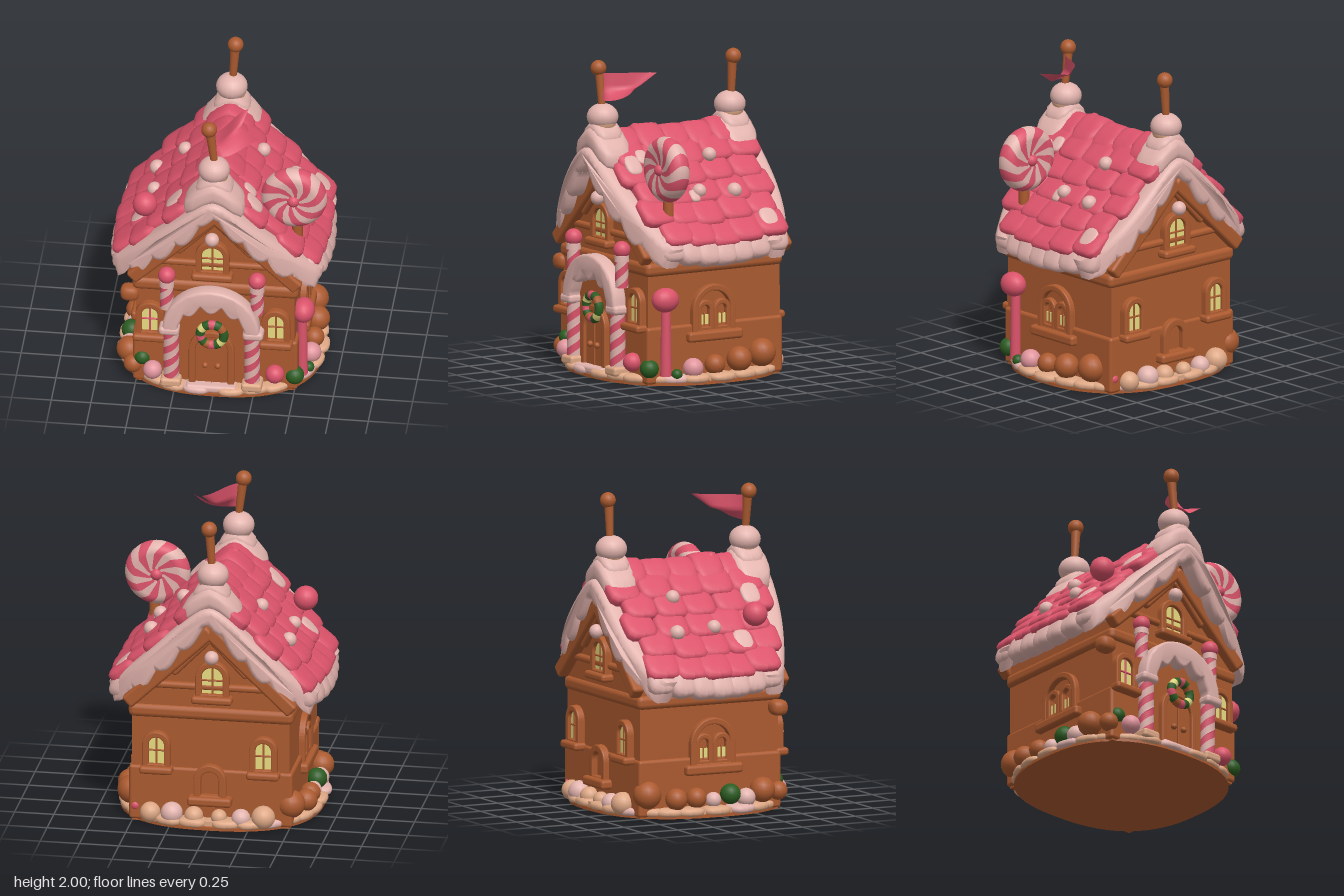
import * as THREE from 'three';
import { toCreasedNormals } from 'three/addons/utils/BufferGeometryUtils.js';
import { RoundedBoxGeometry } from 'three/addons/geometries/RoundedBoxGeometry.js';

const mat = (name, color, side = THREE.FrontSide) => Object.assign(new THREE.MeshStandardMaterial({ color, side }), { name });
const ginger = mat('gingerbread', 0xab5a2f), pink = mat('candy pink', 0xdb536a, THREE.DoubleSide);
const icing = mat('icing', 0xe2b3ad), tan = mat('tan icing', 0xdda785), yellow = mat('window glow', 0xe9de82);
const green = mat('green', 0x2c5c22), rose = mat('pale candy', 0xe0949c);

let seed = 7;
const rnd = (a) => { seed = (seed * 16807) % 2147483647; return (seed / 2147483647 - 0.5) * 2 * a; };
const V2 = (x, y) => new THREE.Vector2(x, y);
const V3 = (x, y, z) => new THREE.Vector3(x, y, z);
const SLOPE = Math.atan(1.05), RIDGE = 1.53;

function add(parent, name, geo, material, x = 0, y = 0, z = 0, rx = 0, ry = 0, rz = 0) {
  const m = new THREE.Mesh(geo, material);
  m.name = name; m.position.set(x, y, z); m.rotation.set(rx, ry, rz);
  parent.add(m);
  return m;
}
const rbox = (w, h, d, r = 0.02) => new RoundedBoxGeometry(w, h, d, 2, Math.min(r, w * 0.49, h * 0.49, d * 0.49));
const ball = (r) => new THREE.SphereGeometry(r, 18, 12);
const cyl = (a, b, h) => new THREE.CylinderGeometry(a, b, h, 18);
function extrude(shape, depth, bevel = 0, steps = 1) {
  return new THREE.ExtrudeGeometry(shape, { depth, steps, curveSegments: 12, bevelEnabled: bevel > 0, bevelSize: bevel, bevelThickness: bevel, bevelSegments: 2 });
}
// Moves every vertex by a rule
function warp(geo, rule) {
  const p = geo.attributes.position, v = V3(0, 0, 0);
  for (let i = 0; i < p.count; i++) { rule(v.fromBufferAttribute(p, i)); p.setXYZ(i, v.x, v.y, v.z); }
  geo.computeVertexNormals();
  return geo;
}
// Soft pillow block, optionally folded over the ridge
function pillow(w, h, d, k = 5, fold = 0) {
  return warp(new THREE.SphereGeometry(1, 20, 12), (v) => {
    const n = (Math.abs(v.x) ** k + Math.abs(v.y) ** k + Math.abs(v.z) ** k) ** (1 / k);
    v.set((v.x * w) / n / 2, (v.y * h) / n / 2, (v.z * d) / n / 2);
    v.y -= fold * (Math.sqrt(v.x * v.x + 0.003) - 0.055);
  });
}
// Sorts the faces into colour groups by their position around the part
function stripes(geo, pattern) {
  const uv = geo.attributes.uv, ix = geo.index.array, out = [];
  for (let i = 0; i < ix.length; i += 3) {
    const u = (uv.getX(ix[i]) + uv.getX(ix[i + 1]) + uv.getX(ix[i + 2])) / 3;
    const k = pattern[Math.floor(u * pattern.length) % pattern.length];
    (out[k] ??= []).push(ix[i], ix[i + 1], ix[i + 2]);
  }
  geo.clearGroups(); geo.setIndex(out.flat());
  let start = 0;
  out.forEach((list, k) => { geo.addGroup(start, list.length, k); start += list.length; });
  return geo;
}
const twist = (geo, angle) => warp(geo, (v) => v.applyAxisAngle(V3(0, 1, 0), angle(v)));
const candyPost = (r, h) => stripes(twist(new THREE.CylinderGeometry(r, r, h, 16, 32, true), (v) => v.y * 30), [0, 1, 0, 1]);

function arch(w, h, y0 = 0, S = THREE.Shape) {
  const s = new S();
  s.moveTo(-w / 2, y0); s.lineTo(w / 2, y0); s.lineTo(w / 2, h - w / 2);
  s.absarc(0, h - w / 2, w / 2, 0, Math.PI, false); s.closePath();
  return s;
}
function archFrame(w, h, t, depth) {
  const s = arch(w + 2 * t, h + t, -t);
  s.holes.push(arch(w, h, 0, THREE.Path));
  return extrude(s, depth, 0.008);
}
function makeWindow(parent, name, w, h, ledge, x, y, z, ry = 0, barMat = ginger) {
  const g = new THREE.Group();
  g.name = name; g.position.set(x, y, z); g.rotation.y = ry;
  add(g, 'windowFrame', archFrame(w, h, 0.024, 0.035), ginger);
  add(g, 'windowPane', extrude(arch(w, h), 0.008), yellow, 0, 0, 0.012);
  add(g, 'mullion', rbox(0.012, h, 0.014, 0.005), barMat, 0, h / 2, 0.02);
  add(g, 'crossBar', rbox(w, 0.012, 0.014, 0.005), barMat, 0, h * 0.5, 0.02);
  add(g, 'windowLedge', rbox(ledge, 0.05, 0.09), ginger, 0, -0.03, 0.03);
  parent.add(g);
}
function sideWindow(parent, side) {
  const g = new THREE.Group();
  g.name = 'sideWindow'; g.position.set(side * 0.5, 0.32, -0.01); g.rotation.y = side * Math.PI / 2;
  add(g, 'outerFrame', archFrame(0.25, 0.26, 0.025, 0.03), ginger);
  add(g, 'ledge', rbox(0.4, 0.065, 0.09), ginger, 0, -0.03, 0.02);
  for (const s of [-1, 1]) {
    add(g, 'paneFrame', archFrame(0.075, 0.15, 0.018, 0.025), ginger, s * 0.062, 0.02, 0);
    add(g, 'pane', new THREE.BoxGeometry(0.06, 0.085, 0.008), yellow, s * 0.064, 0.06, 0.012);
    add(g, 'paneBar', rbox(0.01, 0.1, 0.014, 0.004), ginger, s * 0.064, 0.065, 0.014);
  }
  parent.add(g);
}

// Bowed front and back edges of the roof
const frontEdge = (x) => 0.63 - 0.5 * x * x, backEdge = (x) => 0.61 - 0.9 * x ** 4;
// Point on the roof: s runs down the slope
function onRoof(s, z, side, lift = 0) {
  const d = s * (1 - 0.25 * z * z), x = d * Math.cos(SLOPE);
  const bowed = z > 0 ? (z * frontEdge(x)) / 0.63 : (z * backEdge(x)) / 0.61;
  return [side * (x + lift * Math.sin(SLOPE)), RIDGE - d * Math.sin(SLOPE) + lift * Math.cos(SLOPE), bowed];
}

function vergeIcing(front) {
  const pts = [];
  for (let i = 0; i <= 60; i++) { const x = -0.63 + i * 0.021; pts.push(V2(x, 1.49 - 0.98 * Math.sqrt(x * x + 0.004))); }
  for (let i = 0; i <= 90; i++) {
    const x = 0.61 - (1.22 * i) / 90, ax = Math.abs(x);
    const drip = (0.03 + 0.06 * Math.min(1, ax * 5)) * (ax > 0.52 ? 0.6 : 1);
    pts.push(V2(x, 1.42 - 0.95 * ax - drip * Math.abs(Math.cos(x * 21 + 0.5)) ** 0.7));
  }
  const geo = warp(extrude(new THREE.Shape(pts.reverse()), 0.07, 0.03), (v) => { v.z += front ? frontEdge(v.x) - 0.1 : 0.03 - backEdge(v.x); });
  return toCreasedNormals(geo, 1);
}

function buildRoof(g) {
  const top = [], low = [];
  for (let i = -10; i <= 10; i++) {
    const x = i * 0.062, y = RIDGE - 1.05 * Math.abs(x);
    top.push(V2(x, y)); low.push(V2(x, y - 0.08));
  }
  const slab = extrude(new THREE.Shape([...low, ...top.reverse()]), 1, 0, 8);
  warp(slab, (v) => { const t = v.z - 0.5; v.z = t * 2 * ((t > 0 ? frontEdge(v.x) : backEdge(v.x)) - 0.07); v.x *= 1 - 0.15 * t * t; });
  add(g, 'roofSlab', slab, ginger);
  add(g, 'frontIcing', vergeIcing(true), icing);
  add(g, 'backIcing', vergeIcing(false), icing);
  for (const side of [-1, 1]) {
    // Pillow tiles in staggered rows
    for (let row = 0; row < 5; row++) for (let k = 0; k < 5; k++) {
      const z = -0.43 + k * 0.21 + (row % 2 ? 0.035 : -0.02) + rnd(0.012);
      const p = onRoof(0.2 + row * 0.155 + rnd(0.012), z, side, 0.012 + rnd(0.006));
      add(g, 'roofTile', pillow(0.215, 0.1, 0.222 + rnd(0.012)), pink, ...p, 0, rnd(0.05), -side * (SLOPE - 0.12 + rnd(0.04)));
    }
    // Icing lumps along the eave
    for (let k = 0; k < 7; k++) {
      const p = onRoof(0.93, -0.51 + k * 0.165, side, -0.025);
      add(g, 'eaveIcing', pillow(0.19, 0.12, 0.18, 3.5), icing, ...p, 0, rnd(0.08), -side * (SLOPE + 0.35));
    }
  }
  for (let k = 0; k < 5; k++) add(g, 'ridgeTile', pillow(0.32 + rnd(0.03), 0.1, 0.205, 5, 0.95), pink, 0, RIDGE - 0.01 + rnd(0.01), -0.36 + k * 0.18);
  // Gumdrops and icing patches on the tiles
  for (const [x, z, r] of [[-0.44, -0.23, 0.048], [-0.25, -0.16, 0.045], [-0.42, 0.05, 0.045], [0.22, -0.16, 0.045], [0.42, -0.23, 0.048], [0.4, 0.03, 0.045]])
    add(g, 'gumdrop', ball(r), icing, ...onRoof(Math.abs(x) / 0.69 - 0.05, z, Math.sign(x), 0.065));
  for (const [s, z, side, w] of [[0.68, 0.26, -1, 0.09], [0.3, 0.42, 1, 0.08], [0.33, 0.4, -1, 0.09], [0.82, -0.44, 1, 0.09], [0.56, 0.08, 1, 0.05], [0.24, 0.33, 1, 0.06]])
    add(g, 'icingPatch', pillow(w * 1.8, 0.04, w * 1.4, 3), icing, ...onRoof(s, z, side, 0.055), 0, 0, -side * SLOPE);
  add(g, 'ridgeCandy', ball(0.035), pink, -0.02, 1.545, 0.23);
  add(g, 'roofBall', ball(0.078), pink, -0.46, 1.24, 0.32);

  // Snowy ridge ends with finial posts
  for (const [z, lean] of [[0.48, 0.03], [-0.46, -0.015]]) {
    add(g, 'ridgeSnow', pillow(0.38, 0.15, 0.24, 4, 0.95), icing, 0, 1.515, z);
    add(g, 'ridgeSnowTop', pillow(0.23, 0.12, 0.19, 4, 0.8), icing, 0, 1.56, z);
    add(g, 'finialBase', ball(0.085), tan, 0, 1.615, z);
    add(g, 'finialBall', ball(0.1), icing, -0.005, 1.645, z).scale.y = 0.85;
    add(g, 'finialPost', cyl(0.031, 0.022, 0.27), ginger, -lean * 0.55, 1.82, z + 0.006 * Math.sign(z), 0, 0, lean * 4);
    add(g, 'finialTip', ball(0.05), ginger, -lean * 1.15, 1.95, z + 0.012 * Math.sign(z));
  }
  // Swallow-tailed flag
  const notch = V3(0.14, 1.845, 0.3);
  const flag = warp(new THREE.PlaneGeometry(1, 1, 12, 8), (v) => {
    const u = v.x + 0.5, h = v.y + 0.5, tip = h > 0.5 ? V3(0.18, 1.925, 0.2) : V3(0.27, 1.85, 0.43);
    const end = notch.clone().lerp(tip, Math.abs(h - 0.5) * 2);
    v.set(-0.015, 1.76 + 0.16 * h, 0.485).lerp(end, u);
    v.y -= 0.04 * Math.sin(u * Math.PI) * (1 - h); v.z += 0.025 * Math.sin(u * 6);
  });
  add(g, 'flag', flag, pink);

  // Swirled lollipop
  const prof = [V2(0.001, -0.055), V2(0.05, -0.06)];
  for (let i = 0; i <= 10; i++) { const a = -Math.PI / 2 + (i * Math.PI) / 10; prof.push(V2(0.14 + 0.068 * Math.cos(a), 0.07 * Math.sin(a))); }
  prof.push(V2(0.1, 0.066), V2(0.05, 0.06), V2(0.001, 0.055));
  const disc = stripes(twist(new THREE.LatheGeometry(prof, 64), (v) => 5 * Math.hypot(v.x, v.z)), Array.from({ length: 16 }, (_, i) => i % 2));
  add(g, 'lollipop', disc, [pink, icing], 0.48, 1.36, 0.31, Math.PI / 2);
  for (const s of [-1, 1]) add(g, 'lollipopCentre', ball(0.04), pink, 0.48, 1.36, 0.31 + s * 0.045);
  add(g, 'lollipopStick', cyl(0.034, 0.034, 0.3), ginger, 0.5, 1.1, 0.31);
}

function buildWalls(g) {
  const house = new THREE.Shape([V2(-0.5, 0), V2(0.5, 0), V2(0.5, 0.92), V2(0, 1.42), V2(-0.5, 0.92)]);
  add(g, 'walls', extrude(house, 0.97), ginger, 0, 0, -0.51);
  add(g, 'plinth', rbox(1.04, 0.36, 1.0), ginger, 0, 0.19, -0.025);
  add(g, 'cornice', rbox(1.05, 0.09, 1.01, 0.035), ginger, 0, 0.735, -0.025);
  for (const [z, s] of [[0.46, 1], [-0.52, -1]]) {
    add(g, 'gableBand', rbox(0.78, 0.045, 0.05), ginger, 0, 0.92, z);
    for (const m of [-1, 1]) {
      add(g, 'rafter', rbox(0.74, 0.09, 0.08), ginger, m * 0.26, 1.05, z + s * 0.02, 0, 0, -m * 0.76);
      add(g, 'innerRafter', rbox(0.34, 0.045, 0.05), ginger, m * 0.12, 1.12, z + s * 0.01, 0, 0, -m * 0.8);
    }
    add(g, 'gableBall', ball(0.045), icing, -0.015, 1.13, z + s * 0.05);
    const ry = s > 0 ? 0 : Math.PI;
    makeWindow(g, 'gableWindow', 0.15, 0.19, 0.26, -0.015, 0.875, z, ry);
    for (const x of s > 0 ? [-0.41, 0.385] : [-0.34, 0.34])
      makeWindow(g, 'lowerWindow', 0.115, 0.19, 0.21, x, 0.39, z, ry, s > 0 && x < 0 ? pink : ginger);
  }
  add(g, 'cornerLump', pillow(0.12, 0.1, 0.11, 3), ginger, -0.54, 0.65, 0.44);
  for (const s of [-1, 1]) sideWindow(g, s);
  // Plain niche at the back
  add(g, 'backNiche', archFrame(0.13, 0.17, 0.03, 0.035), ginger, 0, 0.2, -0.52, 0, Math.PI);
  add(g, 'backNicheLedge', rbox(0.28, 0.06, 0.09), ginger, 0, 0.17, -0.55);
}

function buildPorch(g) {
  g.position.x = -0.015;
  add(g, 'porchArch', extrude(arch(0.46, 0.68), 0.05, 0.01), ginger, 0, 0.02, 0.45);
  add(g, 'doorFrame', archFrame(0.22, 0.37, 0.025, 0.03), ginger, 0, 0.05, 0.51);
  add(g, 'door', extrude(arch(0.2, 0.36), 0.02), ginger, 0, 0.05, 0.51);
  add(g, 'doorSeam', rbox(0.008, 0.3, 0.01, 0.003), ginger, 0, 0.2, 0.533);
  for (const m of [-1, 1]) {
    add(g, 'doorKnob', ball(0.02), ginger, m * 0.04, 0.2, 0.54);
    add(g, 'candyColumn', candyPost(0.05, 0.4), [pink, icing], m * 0.255, 0.25, 0.52);
    add(g, 'columnFoot', rbox(0.13, 0.06, 0.13), tan, m * 0.255, 0.07, 0.52);
    add(g, 'columnCapital', rbox(0.13, 0.06, 0.12, 0.025), icing, m * 0.265, 0.46, 0.53);
    add(g, 'upperPost', candyPost(0.042, 0.2), [pink, icing], m * 0.285, 0.7, 0.51);
    add(g, 'upperPostCap', cyl(0.045, 0.047, 0.04), icing, m * 0.285, 0.785, 0.51);
    add(g, 'postBall', ball(0.055), pink, m * 0.285, 0.84, 0.51);
  }
  // Dripping icing arch
  const pts = [];
  for (let i = 0; i <= 24; i++) { const a = (i * Math.PI) / 24; pts.push(V2(0.29 * Math.cos(a), 0.28 * Math.sin(a))); }
  for (let i = 70; i >= 0; i--) {
    const a = (i * Math.PI) / 70;
    pts.push(V2(0.225 * Math.cos(a), 0.205 * Math.sin(a) - 0.06 * Math.sin(a) * Math.abs(Math.sin(a * 5)) ** 1.5));
  }
  add(g, 'porchIcing', toCreasedNormals(extrude(new THREE.Shape(pts), 0.07, 0.015), 0.9), icing, 0, 0.48, 0.5);
  // Wreath on the door
  const ring = stripes(new THREE.TorusGeometry(0.075, 0.029, 10, 42), [0, 2, 0, 1, 0, 3, 0, 1, 0, 2, 1, 0, 3, 0]);
  add(g, 'wreath', ring, [green, pink, ginger, yellow], 0.005, 0.44, 0.55);
}

function buildGround(g) {
  const rim = (t, k) => { const f = (q) => Math.sign(q) * Math.abs(q) ** 0.8; return V2(0.6 * k * f(Math.cos(t)), 0.57 * k * f(Math.sin(t))); };
  const outline = (k) => new THREE.Shape(Array.from({ length: 64 }, (_, i) => rim((i * Math.PI) / 32, k)));
  add(g, 'baseBottom', extrude(outline(1.07), 0.02), ginger, 0, 0, -0.02, -Math.PI / 2);
  add(g, 'baseTop', extrude(outline(1.03), 0.04), tan, 0, 0.01, -0.02, -Math.PI / 2);
  for (let i = 0; i < 26; i++) {
    const t = (i * Math.PI) / 13, p = rim(t, 0.97);
    add(g, 'baseLump', pillow(0.15 + rnd(0.02), 0.06, 0.18, 3), i % 5 === 2 ? icing : tan, p.x, 0.036, p.y - 0.02, 0, Math.PI - t);
  }
  add(g, 'doorStep', rbox(0.32, 0.05, 0.12), icing, -0.015, 0.045, 0.53);
  // Sweets around the foot of the walls
  const sweets = [
    [0.57, 0.11, 0.01, 0.065, ginger], [0.57, 0.13, -0.17, 0.08, ginger], [0.53, 0.15, -0.36, 0.09, ginger], [0.5, 0.11, 0.45, 0.06, green],
    [0.38, 0.14, 0.5, 0.06, pink], [0.57, 0.1, 0.17, 0.065, rose], [0.57, 0.07, 0.29, 0.035, green], [0.48, 0.1, -0.5, 0.035, pink],
    [-0.52, 0.12, 0.45, 0.06, ginger], [-0.56, 0.14, 0.32, 0.08, ginger], [-0.46, 0.18, 0.46, 0.05, green], [-0.39, 0.12, 0.51, 0.06, rose],
    [-0.57, 0.1, 0.2, 0.06, icing], [-0.57, 0.13, 0.09, 0.065, green], [-0.57, 0.1, -0.03, 0.05, icing], [-0.57, 0.12, -0.15, 0.065, ginger],
    [-0.57, 0.12, -0.29, 0.07, ginger], [-0.5, 0.15, -0.46, 0.09, ginger], [-0.34, 0.08, -0.55, 0.075, tan], [-0.2, 0.07, -0.56, 0.06, icing],
    [-0.06, 0.07, -0.56, 0.05, tan], [0.1, 0.07, -0.56, 0.06, tan], [0.24, 0.08, -0.56, 0.07, icing], [0.38, 0.07, -0.54, 0.065, tan],
  ];
  for (const [x, y, z, r, m] of sweets) add(g, 'groundSweet', ball(r), m, x, y, z);
  // Pink candy lamp
  add(g, 'lampPost', cyl(0.03, 0.036, 0.42), pink, 0.535, 0.27, 0.35);
  add(g, 'lampBall', ball(0.08), pink, 0.545, 0.545, 0.36).scale.set(0.9, 0.97, 1.15);
}

export function createModel() {
  const model = new THREE.Group();
  model.name = 'gingerbreadHouse';
  for (const [name, build] of [['walls', buildWalls], ['roof', buildRoof], ['porch', buildPorch], ['ground', buildGround]]) {
    const g = new THREE.Group();
    g.name = name;
    build(g);
    model.add(g);
  }
  return model;
}
